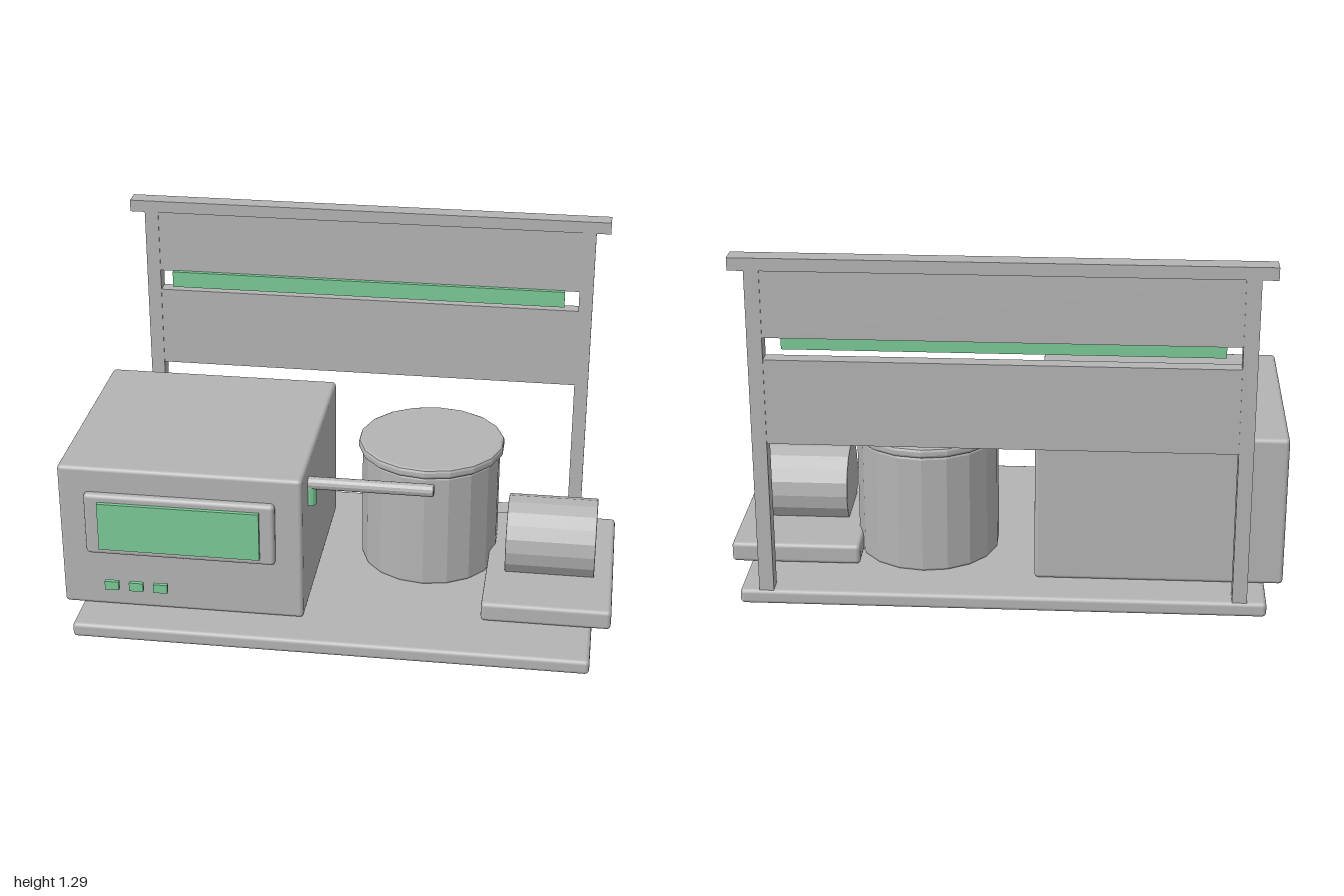
import * as THREE from 'three';
import { RoundedBoxGeometry } from 'three/addons/geometries/RoundedBoxGeometry.js';

export function createModel() {
  const model = new THREE.Group();
  const grey = new THREE.MeshStandardMaterial({ color: 0xb4b4b4 });
  grey.name = 'grey casing';
  const green = new THREE.MeshStandardMaterial({ color: 0x7bca97 });
  green.name = 'green accent';

  const add = (name, geometry, material) => {
    const mesh = new THREE.Mesh(geometry, material);
    mesh.name = name;
    model.add(mesh);
    return mesh;
  };

  // Box given by its limits on each axis, with an optional edge radius
  const box = (name, [x0, x1], [y0, y1], [z0, z1], material = grey, radius = 0) => {
    const size = [x1 - x0, y1 - y0, z1 - z0];
    const geometry = radius
      ? new RoundedBoxGeometry(...size, 2, radius)
      : new THREE.BoxGeometry(...size);
    add(name, geometry, material).position.set((x0 + x1) / 2, (y0 + y1) / 2, (z0 + z1) / 2);
  };

  // Faceted cylinder with bevelled rims, standing on its origin
  const drum = (name, radius, height, bevel, sides, material = grey) => {
    const profile = [
      [0, 0], [radius - bevel, 0], [radius - bevel * 0.3, bevel * 0.3], [radius, bevel],
      [radius, height - bevel], [radius - bevel * 0.3, height - bevel * 0.3],
      [radius - bevel, height], [0, height],
    ].map(([x, y]) => new THREE.Vector2(x, y));
    const geometry = new THREE.LatheGeometry(profile, sides).toNonIndexed();
    geometry.computeVertexNormals();
    return add(name, geometry, material);
  };

  // Base plate and control cabinet
  box('basePlate', [-0.935, 0.932], [0, 0.055], [-0.575, 0.575], grey, 0.015);
  box('cabinet', [-1, -0.11], [0.055, 0.618], [-0.424, 0.424], grey, 0.015);

  // Display and buttons on the cabinet front
  box('displayBezel', [-0.903, -0.208], [0.279, 0.522], [0.405, 0.449], grey, 0.015);
  box('displayScreen', [-0.85, -0.261], [0.308, 0.494], [0.446, 0.464], green);
  for (const x of [-0.81, -0.72, -0.63]) {
    box('button', [x - 0.026, x + 0.026], [0.142, 0.176], [0.449, 0.464], green);
  }

  // Horizontal spout with a short green nozzle below it
  const spout = drum('spout', 0.023, 0.485, 0.006, 12);
  spout.rotation.z = -Math.PI / 2;
  spout.position.set(-0.14, 0.537, 0.275);
  drum('nozzle', 0.021, 0.085, 0.001, 12, green).position.set(-0.101, 0.453, 0.275);

  // Vessel with its lid
  drum('vessel', 0.26, 0.45, 0.01, 18).position.set(0.295, 0.055, -0.135);
  drum('vesselLid', 0.275, 0.038, 0.012, 18).position.set(0.295, 0.505, -0.135);

  // Motor lying on its mounting plate
  box('motorMount', [0.53, 1], [0.055, 0.13], [-0.355, 0.355], grey, 0.015);
  const motor = drum('motor', 0.151, 0.33, 0.004, 18);
  motor.rotation.z = -Math.PI / 2;
  motor.position.set(0.6, 0.23, 0);

  // Back frame: two posts, top rail, two panels and a light strip in the slot
  for (const side of [-1, 1]) {
    const xs = side < 0 ? [-0.865, -0.813] : [0.811, 0.863];
    box('framePost', xs, [0.05, 1.25], [-0.568, -0.508]);
  }
  box('topRail', [-0.92, 0.917], [1.25, 1.295], [-0.572, -0.504]);
  box('lowerPanel', [-0.815, 0.813], [0.62, 0.93], [-0.565, -0.511]);
  box('upperPanel', [-0.815, 0.813], [1.01, 1.252], [-0.565, -0.511]);
  box('lightStrip', [-0.762, 0.757], [0.95, 1.012], [-0.511, -0.494], green);

  return model;
}
